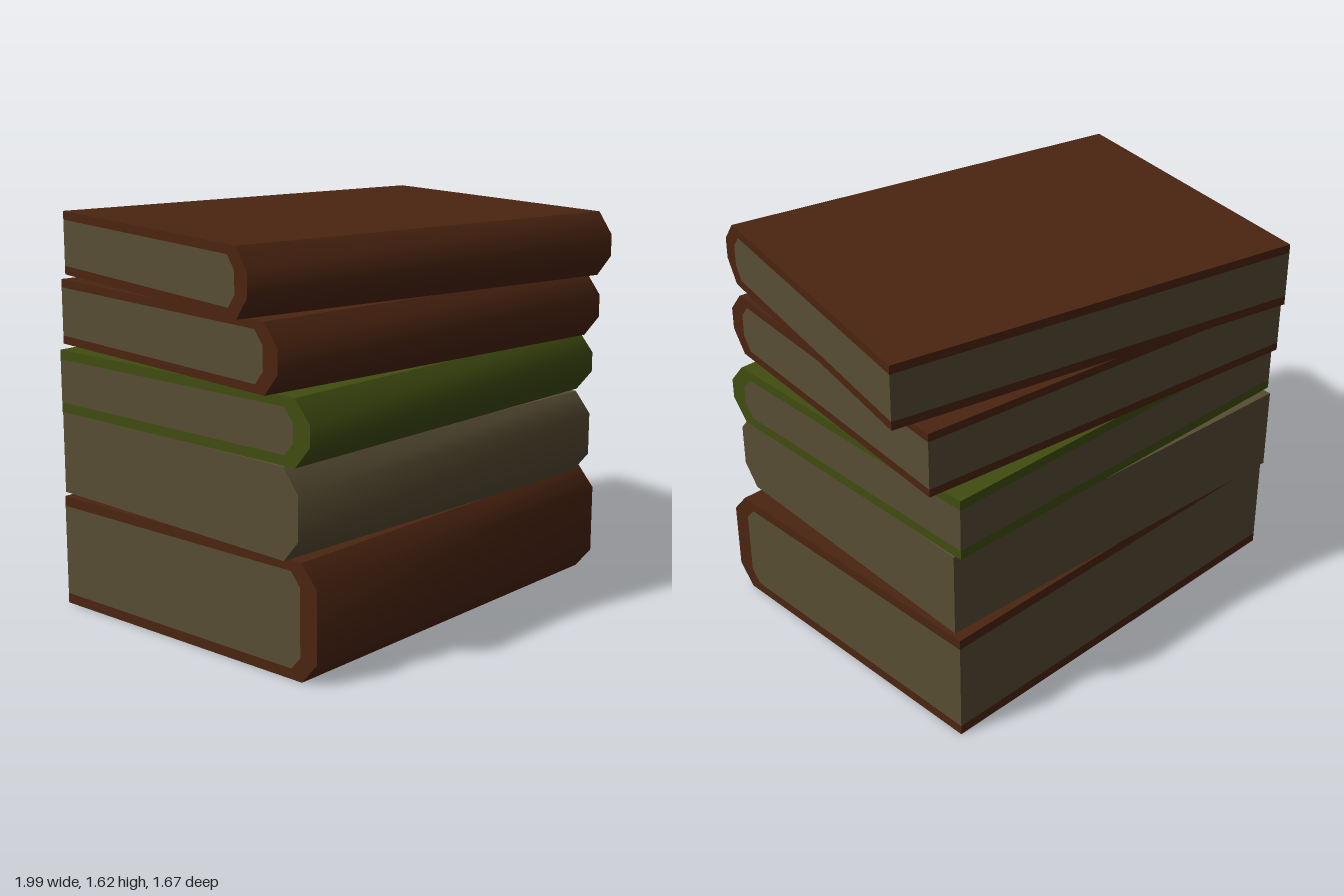
import * as THREE from 'three';
import { toCreasedNormals } from 'three/addons/utils/BufferGeometryUtils.js';

const mat = (name, color) => {
  const m = new THREE.MeshStandardMaterial({ color });
  m.name = name;
  return m;
};

// Extrude a z/y profile along x, centred; the bevelled spine stays smooth, other edges sharp
function extrudeAlongX(points, width) {
  const shape = new THREE.Shape(points.map(([z, y]) => new THREE.Vector2(z, y)));
  const geo = new THREE.ExtrudeGeometry(shape, { depth: width, bevelEnabled: false });
  geo.translate(0, 0, -width / 2);
  geo.rotateY(-Math.PI / 2);
  return toCreasedNormals(geo, Math.PI / 4);
}

// Bevelled front edge, from bottom to top
const nose = (front, bottom, top, dz, dy) => [
  [front - dz, bottom], [front, bottom + dy], [front, top - dy], [front - dz, top],
];

function makeBook({ name, width, depth, bottom, top, x, z, turn, board, cover, pages }) {
  const h = top - bottom;
  const back = -depth / 2;
  const front = depth / 2;
  const outer = nose(front, 0, h, 0.075, 0.088);
  const inner = nose(front - 0.083, board, h - board, 0.045, 0.053);

  // Cover: two boards joined by the spine
  const coverMesh = new THREE.Mesh(
    extrudeAlongX([[back, 0], ...outer, [back, h], [back, h - board], ...[...inner].reverse(), [back, board]], width),
    cover);
  coverMesh.name = name + 'Cover';

  // Page block filling the cover
  const pageMesh = new THREE.Mesh(
    extrudeAlongX([[back, board], ...inner, [back, h - board]], width), pages);
  pageMesh.name = name + 'Pages';

  const book = new THREE.Group();
  book.name = name;
  book.add(coverMesh, pageMesh);
  book.position.set(x, bottom, z);
  book.rotation.y = turn;
  return book;
}

export function createModel() {
  const brown = mat('brown leather', 0x4b2410);
  const green = mat('green cloth', 0x414d10);
  const cream = mat('aged paper', 0x574d33);

  // Stack from bottom to top
  const books = [
    { name: 'thickBrownBook', width: 1.82, depth: 1.4, bottom: 0, top: 0.465, x: 0.005, z: 0, turn: 0.053, board: 0.042, cover: brown },
    { name: 'paperBook', width: 1.76, depth: 1.385, bottom: 0.465, top: 0.82, x: -0.02, z: -0.007, turn: 0, board: 0.038, cover: cream },
    { name: 'greenBook', width: 1.78, depth: 1.39, bottom: 0.82, top: 1.08, x: -0.015, z: 0, turn: 0.037, board: 0.04, cover: green },
    { name: 'middleBrownBook', width: 1.76, depth: 1.385, bottom: 1.08, top: 1.35, x: -0.012, z: -0.005, turn: -0.069, board: 0.034, cover: brown },
    { name: 'topBrownBook', width: 1.785, depth: 1.39, bottom: 1.352, top: 1.617, x: 0, z: 0, turn: -0.169, board: 0.036, cover: brown },
  ];

  const stack = new THREE.Group();
  stack.name = 'bookStack';
  for (const b of books) stack.add(makeBook({ ...b, pages: cream }));
  return stack;
}
